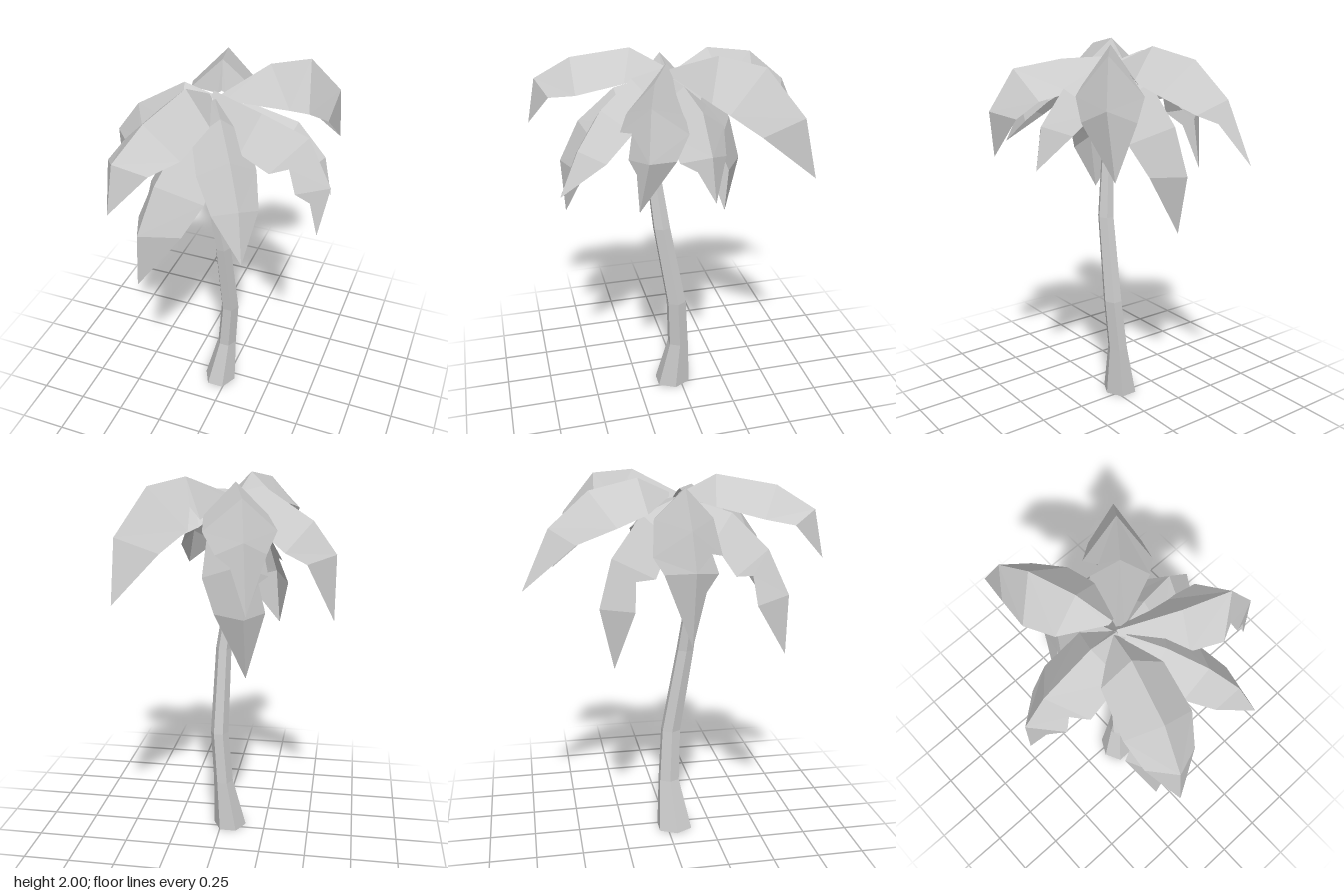
import * as THREE from 'three';

const V = (p) => new THREE.Vector3(...p);

function flatMesh(name, triangles, side) {
  const geometry = new THREE.BufferGeometry().setFromPoints(triangles);
  geometry.computeVertexNormals();
  const mesh = new THREE.Mesh(geometry, new THREE.MeshStandardMaterial({ color: 0xcccccc, flatShading: true, side }));
  mesh.name = name;
  return mesh;
}

// Six-sided trunk lofted through rings of [x, y, z, radius], a little deeper than wide
function makeTrunk() {
  const rings = [
    [-0.048, 0, 0.042, 0.092], [-0.013, 0.29, 0.015, 0.054], [0.011, 0.58, 0.03, 0.05],
    [0, 1.05, 0.107, 0.043], [-0.045, 1.42, 0.147, 0.033], [-0.06, 1.88, 0.1, 0.025],
  ];
  const at = ([x, y, z, r], k) => {
    const a = (k * Math.PI) / 3;
    return new THREE.Vector3(x + r * Math.cos(a), y, z - 1.14 * r * Math.sin(a));
  };
  const tris = [];
  const first = rings[0], last = rings[rings.length - 1];
  for (let k = 0; k < 6; k++) {
    for (let i = 0; i + 1 < rings.length; i++) {
      const a = at(rings[i], k), b = at(rings[i], k + 1);
      const c = at(rings[i + 1], k + 1), d = at(rings[i + 1], k);
      tris.push(a, b, c, a, c, d);
    }
    tris.push(V(first.slice(0, 3)), at(first, k + 1), at(first, k));
    tris.push(V(last.slice(0, 3)), at(last, k), at(last, k + 1));
  }
  return flatMesh('trunk', tris, THREE.FrontSide);
}

// Folded leaf: ridge points from root to tip, both halves sloping down from the ridge.
// notches lists [side, panel] pairs where the rim is torn.
function makeFrond(name, points, { widths = [0.02, 0.15, 0.17, 0.12, 0], drop = 1.1, notches = [] } = {}) {
  const ridge = points.map(V);
  const n = ridge.length;
  const heading = ridge[n - 2].clone().sub(ridge[0]).setY(0).normalize();
  const across = new THREE.Vector3(-heading.z, 0, heading.x);
  const rim = (i, s) => {
    const tangent = ridge[Math.min(i + 1, n - 1)].clone().sub(ridge[Math.max(i - 1, 0)]).normalize();
    const down = across.clone().cross(tangent).normalize();
    if (down.y > 0) down.negate();
    return ridge[i].clone().addScaledVector(across, s * widths[i]).addScaledVector(down, widths[i] * drop);
  };
  const tris = [];
  for (const s of [-1, 1]) {
    for (let i = 0; i + 1 < n; i++) {
      const a = ridge[i], b = ridge[i + 1], c = rim(i, s), d = rim(i + 1, s);
      if (notches.some(([side, panel]) => side === s && panel === i)) {
        const m = c.clone().lerp(d, 0.25).lerp(a.clone().lerp(b, 0.25), 0.35);
        tris.push(a, c, m, a, m, b);
        if (i + 2 < n) tris.push(b, m, d);
      } else {
        tris.push(a, c, b);
        if (i + 2 < n) tris.push(b, c, d);
      }
    }
  }
  return flatMesh(name, tris, THREE.DoubleSide);
}

export function createModel() {
  const tree = new THREE.Group();
  tree.name = 'palmTree';
  tree.add(makeTrunk());

  const crown = new THREE.Group();
  crown.name = 'crown';
  tree.add(crown);
  const frond = (...args) => crown.add(makeFrond(...args));

  // Upper fronds
  frond('backFrond', [[-0.04, 1.9, 0.01], [-0.1, 1.98, -0.16], [-0.165, 1.93, -0.41], [-0.2, 1.76, -0.61], [-0.23, 1.46, -0.75]],
    { widths: [0.02, 0.16, 0.18, 0.12, 0], drop: 1, notches: [[1, 3]] });
  frond('backLeftFrond', [[-0.03, 1.9, 0.05], [0.15, 2, -0.15], [0.3, 1.97, -0.34], [0.425, 1.75, -0.5], [0.43, 1.44, -0.57]],
    { widths: [0.02, 0.14, 0.165, 0.13, 0], drop: 1.4, notches: [[-1, 1]] });
  frond('leftFrond', [[-0.06, 1.92, 0.06], [0.22, 1.91, 0.18], [0.465, 1.87, 0.25], [0.59, 1.66, 0.29], [0.55, 1.415, 0.33]],
    { widths: [0.02, 0.14, 0.16, 0.11, 0], notches: [[1, 2], [1, 3]] });
  frond('frontRightFrond', [[-0.08, 1.9, 0.06], [-0.13, 1.995, 0.23], [-0.21, 1.945, 0.52], [-0.28, 1.83, 0.7], [-0.3, 1.59, 0.745]],
    { widths: [0.02, 0.15, 0.165, 0.12, 0], drop: 0.95 });
  frond('rightFrond', [[-0.06, 1.9, 0.06], [-0.21, 1.94, 0.06], [-0.475, 1.77, 0.04], [-0.6, 1.6, 0.035], [-0.6, 1.25, 0.02]],
    { widths: [0.02, 0.15, 0.17, 0.13, 0], notches: [[-1, 2], [-1, 3]] });

  // Lower, steeper fronds
  frond('frontLeftFrond', [[-0.04, 1.9, 0.1], [0.05, 1.89, 0.26], [0.16, 1.78, 0.43], [0.25, 1.62, 0.56], [0.3, 1.415, 0.66]],
    { widths: [0.02, 0.13, 0.14, 0.11, 0], drop: 0.9 });
  frond('lowerLeftFrond', [[-0.04, 1.87, 0.06], [0.14, 1.86, 0.02], [0.34, 1.79, -0.02], [0.48, 1.62, -0.03], [0.52, 1.405, -0.04]],
    { widths: [0.02, 0.13, 0.15, 0.12, 0], drop: 0.9, notches: [[1, 3]] });
  frond('lowerFrontFrond', [[-0.07, 1.87, 0.1], [-0.12, 1.8, 0.32], [-0.185, 1.62, 0.5], [-0.24, 1.39, 0.6], [-0.265, 1.08, 0.585]],
    { widths: [0.02, 0.14, 0.17, 0.14, 0], notches: [[1, 2]] });
  frond('lowerBackFrond', [[-0.06, 1.87, 0.04], [-0.1, 1.8, -0.14], [-0.14, 1.59, -0.3], [-0.17, 1.34, -0.37], [-0.175, 1.02, -0.3]],
    { widths: [0.02, 0.14, 0.17, 0.13, 0], notches: [[-1, 2]] });

  return tree;
}
